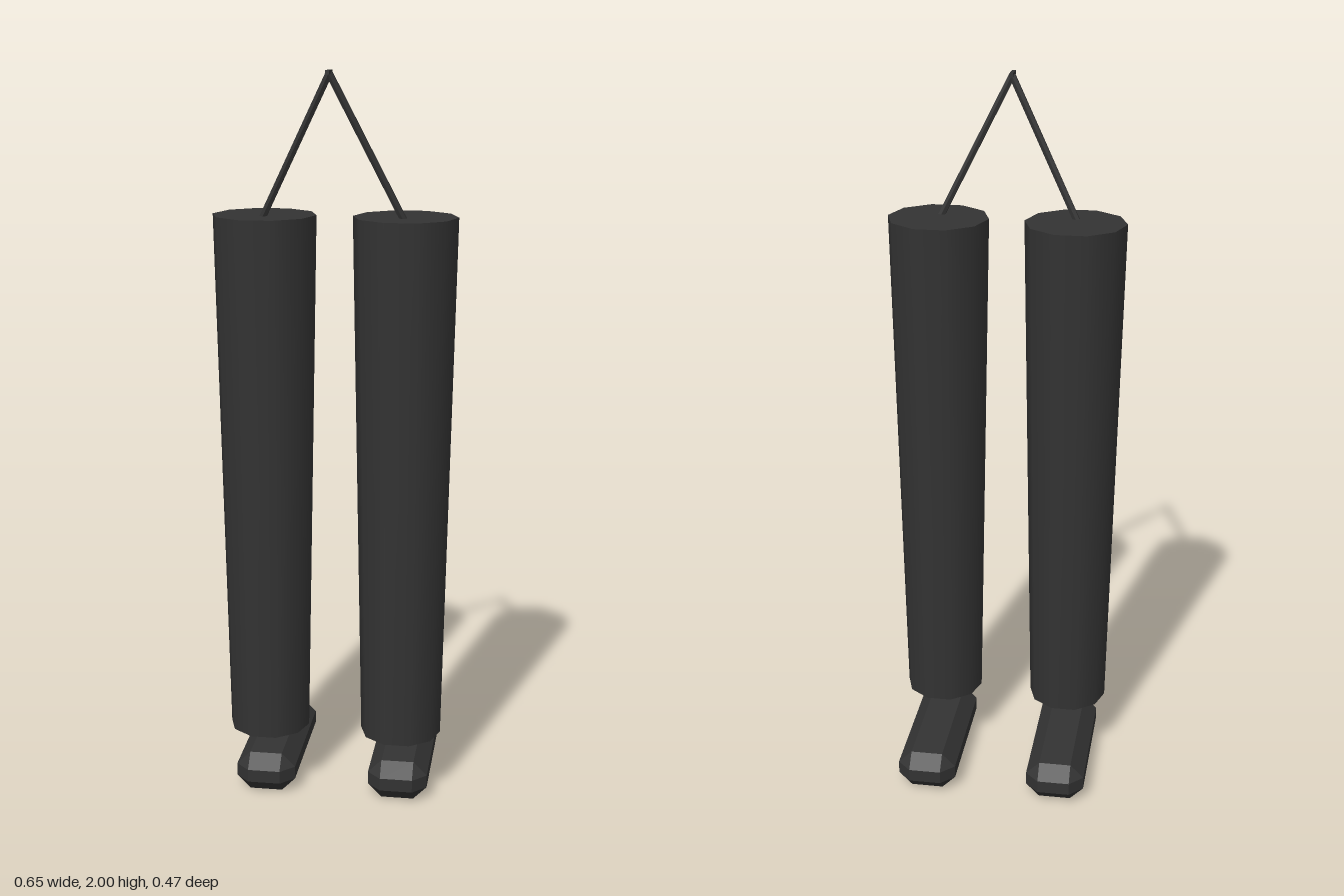
import * as THREE from 'three';
import { ConvexGeometry } from 'three/addons/geometries/ConvexGeometry.js';

const dark = new THREE.MeshStandardMaterial({ color: 0x333333 });
const darkFlat = new THREE.MeshStandardMaterial({ color: 0x333333, flatShading: true });

function addMesh(parent, name, geometry, material, x = 0, y = 0, z = 0) {
  const mesh = new THREE.Mesh(geometry, material);
  mesh.name = name;
  mesh.position.set(x, y, z);
  parent.add(mesh);
  return mesh;
}

// Box with every edge and corner cut by c: one inset rectangle per side
function chamferedBox(hx, hy, hz, c) {
  const points = [];
  for (const sx of [-1, 1]) for (const sy of [-1, 1]) for (const sz of [-1, 1]) {
    points.push(new THREE.Vector3(sx * hx, sy * (hy - c), sz * (hz - c)));
    points.push(new THREE.Vector3(sx * (hx - c), sy * hy, sz * (hz - c)));
    points.push(new THREE.Vector3(sx * (hx - c), sy * (hy - c), sz * hz));
  }
  return new ConvexGeometry(points);
}

// Thin straight rod between two points
function addRod(parent, name, from, to, radius) {
  const length = from.distanceTo(to);
  const rod = addMesh(parent, name, new THREE.CylinderGeometry(radius, radius, length, 6), darkFlat);
  rod.position.copy(from).lerp(to, 0.5);
  rod.quaternion.setFromUnitVectors(new THREE.Vector3(0, 1, 0), to.clone().sub(from).normalize());
}

export function createModel() {
  const model = new THREE.Group();
  model.name = 'cordedHandles';

  const top = 1.625, bottom = 0.175, rTop = 0.139, rBottom = 0.112, legZ = 0.102;
  const apex = new THREE.Vector3(0, 1.992, 0.196);

  for (const side of [1, -1]) {
    const label = side > 0 ? 'left' : 'right';
    const x = 0.187 * side;

    // Tapered ten-sided tube, a corner pointing sideways
    const tube = new THREE.CylinderGeometry(rTop, rBottom, top - bottom, 10, 1, true);
    tube.rotateY(Math.PI / 2);
    addMesh(model, label + 'Tube', tube, dark, x, (top + bottom) / 2, legZ);

    // Flat lid
    const lid = new THREE.CircleGeometry(rTop, 10);
    lid.rotateX(-Math.PI / 2);
    addMesh(model, label + 'Lid', lid, dark, x, top, legZ);

    // Shallow point underneath
    const tip = new THREE.ConeGeometry(rBottom, 0.035, 10, 1, true);
    tip.rotateX(Math.PI);
    tip.rotateY(Math.PI / 2);
    addMesh(model, label + 'Tip', tip, darkFlat, x, bottom - 0.0175, legZ);

    // Separate chamfered foot, reaching backward
    addMesh(model, label + 'Foot', chamferedBox(0.083, 0.056, 0.226, 0.038), darkFlat, x, 0.056, -0.011);

    // Cord rising to the middle
    addRod(model, label + 'Cord', new THREE.Vector3(x * 1.02, 1.61, 0.135), apex, 0.01);
  }

  // Small pin across the top of the cords
  addMesh(model, 'pin', new THREE.BoxGeometry(0.01, 0.01, 0.057), darkFlat, 0, 1.995, 0.202);
  return model;
}
